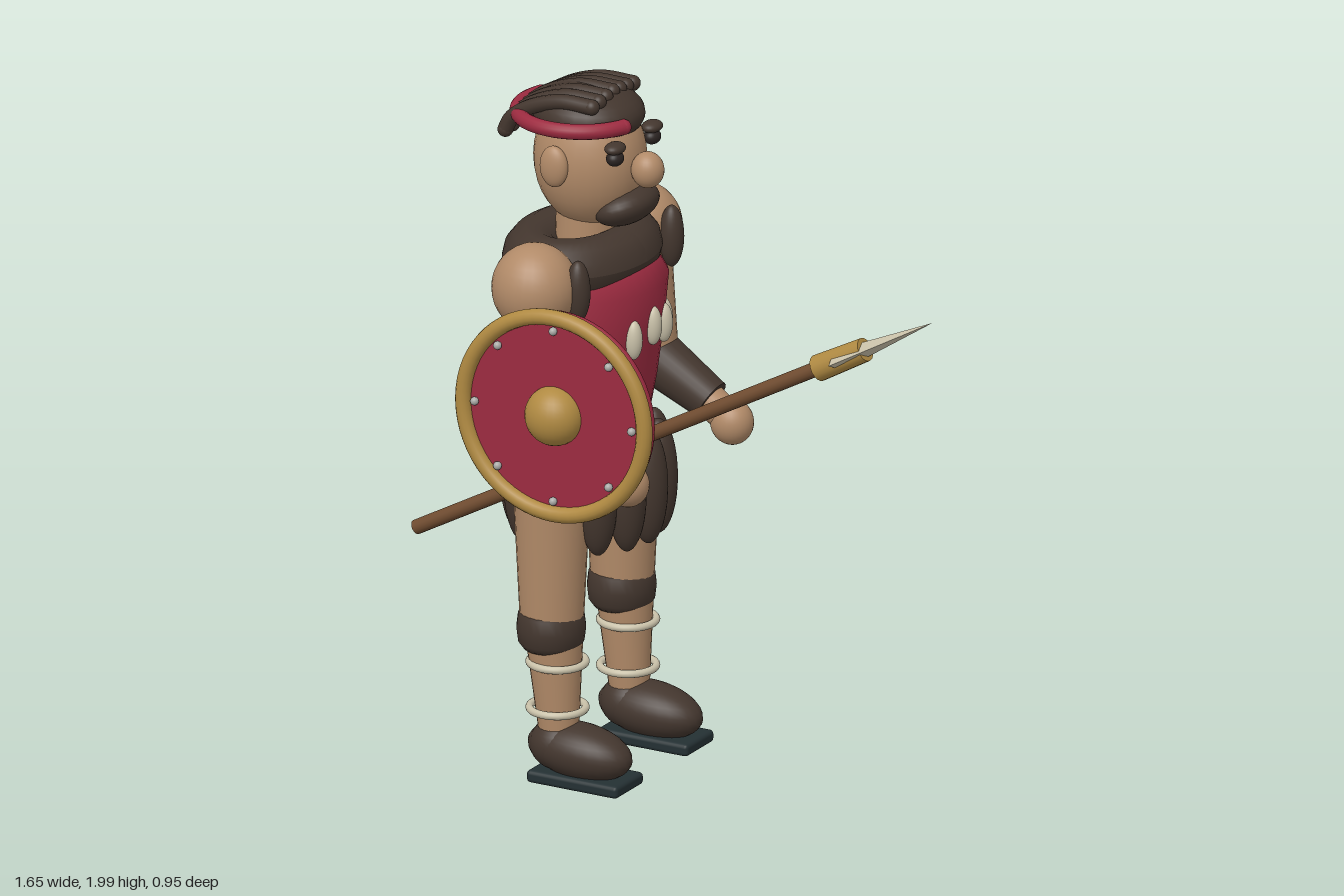
import * as THREE from 'three';
import { RoundedBoxGeometry } from 'three/addons/geometries/RoundedBoxGeometry.js';

const paint = (name, color) => {
  const m = new THREE.MeshStandardMaterial({ color });
  m.name = name;
  return m;
};

export function createModel() {
  const skin = paint('skin', 0xb18a68), fur = paint('dark fur', 0x43362e), red = paint('crimson', 0x9c2b40);
  const gold = paint('brass', 0xb08a42), bone = paint('bone', 0xc9c1a9), wood = paint('wood', 0x704c30);
  const soleDark = paint('sole', 0x243033), steel = paint('steel', 0xa9aaa6), eyeDark = paint('eye', 0x2b2422);
  const model = new THREE.Group();
  model.name = 'warrior';
  const CX = -0.435, CZ = -0.07; // body axis; the figure looks along +x

  const add = (name, geo, mat, x = 0, y = 0, z = 0) => {
    const m = new THREE.Mesh(geo, mat);
    m.name = name;
    m.position.set(x, y, z);
    model.add(m);
    return m;
  };
  const blob = (name, mat, x, y, z, rx, ry = rx, rz = rx) => {
    const m = add(name, new THREE.SphereGeometry(1, 28, 18), mat, x, y, z);
    m.scale.set(rx, ry, rz);
    return m;
  };
  // Cylinder from point a to point b
  const limb = (name, mat, a, b, ra, rb, sides = 24) => {
    const p = new THREE.Vector3(...a), q = new THREE.Vector3(...b), d = q.clone().sub(p);
    const m = add(name, new THREE.CylinderGeometry(rb, ra, d.length(), sides), mat);
    m.position.copy(p).add(q).multiplyScalar(0.5);
    m.quaternion.setFromUnitVectors(new THREE.Vector3(0, 1, 0), d.normalize());
    return m;
  };
  const ring = (r, tube, arc = Math.PI * 2) =>
    new THREE.TorusGeometry(r, tube, 14, 48, arc).rotateX(Math.PI / 2);

  // Tunic
  const profile = [[0, 1], [0.185, 1], [0.212, 1.13], [0.234, 1.28], [0.248, 1.42], [0.2, 1.5], [0, 1.53]];
  const tunic = add('tunic', new THREE.LatheGeometry(profile.map(p => new THREE.Vector2(...p)), 40), red, CX, 0, CZ);
  tunic.scale.x = 0.86;

  // Fur collar with a hanging tuft at each shoulder
  const collarGeo = ring(1, 0.085);
  const pos = collarGeo.attributes.position;
  for (let i = 0; i < pos.count; i++) {
    const x = pos.getX(i), z = pos.getZ(i), r = Math.hypot(x, z), t = r - 1;
    pos.setXYZ(i, (x / r) * (0.122 + t), pos.getY(i), (z / r) * (0.18 + t));
  }
  collarGeo.computeVertexNormals();
  add('furCollar', collarGeo, fur, -0.455, 1.495, CZ);
  for (const s of [-1, 1]) blob('collarTuft', fur, -0.32, 1.475, CZ + s * 0.26, 0.035, 0.09, 0.035);

  // Tooth necklace on the chest
  for (let i = -2; i <= 2; i++) {
    const dz = i * 0.084;
    blob('tooth', bone, CX + 0.205 * Math.sqrt(1 - (dz / 0.235) ** 2), 1.31 - Math.abs(i) * 0.02, CZ + dz, 0.025, 0.057, 0.025);
  }

  // Skirt of overlapping fur strips
  const hips = add('hips', new THREE.CylinderGeometry(0.185, 0.18, 0.2, 32), fur, CX, 0.9, CZ);
  hips.scale.x = 0.93;
  for (let i = 0; i < 14; i++) {
    const a = (i / 14) * Math.PI * 2;
    const strip = blob('skirtStrip', fur, CX + 0.19 * Math.cos(a), 0.835, CZ + 0.2 * Math.sin(a), 0.055, 0.168, 0.055);
    strip.rotation.y = -a;
  }

  // Legs and arms, mirrored about the body axis
  for (const s of [-1, 1]) {
    const lz = CZ + s * 0.196;
    limb('thigh', skin, [-0.44, 0.45, lz], [-0.44, 0.86, lz], 0.088, 0.108);
    const knee = add('kneeFur', new THREE.LatheGeometry(
      [[0, 0.39], [0.08, 0.39], [0.095, 0.41], [0.1, 0.45], [0.095, 0.49], [0.08, 0.51], [0, 0.51]]
        .map(p => new THREE.Vector2(...p)), 28), fur, -0.442, 0, lz);
    knee.scale.x = 0.96;
    limb('shin', skin, [-0.415, 0.1, lz], [-0.432, 0.42, lz], 0.052, 0.08);
    for (const y of [0.35, 0.215]) add('legRing', ring(0.078, 0.011), bone, -0.422, y, lz);
    blob('shoe', fur, -0.35, 0.1, lz, 0.16, 0.078, 0.088).rotation.z = -0.08;
    blob('shoeHeel', fur, -0.415, 0.11, lz, 0.085, 0.075, 0.08);
    add('sole', new RoundedBoxGeometry(0.29, 0.036, 0.155, 2, 0.012), soleDark, -0.335, 0.024, lz);

    const az = CZ + s * 0.29;
    blob('shoulder', skin, -0.44, 1.475, az, 0.122, 0.127, 0.118);
    limb('upperArm', skin, [-0.4, 1.12, az], [-0.44, 1.45, az], 0.073, 0.088);
    blob('elbow', fur, -0.4, 1.105, az, 0.077);
    limb('bracer', fur, [-0.405, 1.11, az], [-0.21, 1.0, az], 0.08, 0.06);
    limb('wrist', skin, [-0.24, 1.015, az], [-0.15, 0.955, az], 0.05, 0.046);
    blob('hand', skin, -0.145, 0.95, az, 0.062, 0.065, 0.058);
  }

  // Head and face
  limb('neck', skin, [-0.44, 1.48, CZ], [-0.44, 1.66, CZ], 0.09, 0.085);
  blob('head', skin, -0.43, 1.775, CZ, 0.16, 0.2, 0.152);
  blob('ear', skin, -0.457, 1.785, 0.085, 0.043, 0.06, 0.026);
  blob('nose', skin, -0.237, 1.772, -0.052, 0.047, 0.052, 0.045);
  blob('beard', fur, -0.32, 1.648, -0.08, 0.087, 0.055, 0.113).rotation.z = 0.35;
  for (const s of [-1, 1]) {
    blob('eye', eyeDark, -0.292, 1.822, CZ + s * 0.103, 0.024, 0.022, 0.028);
    blob('eyebrow', fur, -0.292, 1.852, CZ + s * 0.103, 0.028, 0.017, 0.036);
  }

  // Hair cap with swept-back locks, and a half headband
  blob('hairCap', fur, -0.435, 1.905, CZ, 0.16, 0.085, 0.148);
  for (let i = 0; i < 7; i++) {
    const z = CZ + (i - 3) * 0.038, drop = 0.004 * Math.abs(i - 3);
    const path = new THREE.CatmullRomCurve3([[-0.36, 1.975], [-0.46, 1.973], [-0.56, 1.94], [-0.615, 1.9], [-0.635, 1.862]]
      .map(p => new THREE.Vector3(p[0], p[1] - drop, z)));
    add('hairLock', new THREE.TubeGeometry(path, 20, 0.022, 10), fur);
    blob('lockTip', fur, -0.36, 1.975 - drop, z, 0.022);
    blob('lockTip', fur, -0.635, 1.862 - drop, z, 0.022);
  }
  add('headband', ring(0.18, 0.022, Math.PI), red, -0.455, 1.903, CZ).rotation.y = -0.37;
  for (const [s, name] of [[1, 'headbandFrontEnd'], [-1, 'headbandBackEnd']])
    blob(name, red, -0.455 + s * 0.168, 1.903, CZ + s * 0.065, 0.022);

  // Spear, carried in the left-hand grip
  const SZ = 0.217, dir = new THREE.Vector2(1.645, 0.9).normalize();
  const along = t => [-0.82 + dir.x * t, 0.7 + dir.y * t, SZ];
  limb('spearShaft', wood, along(0), along(1.52), 0.021, 0.021, 16);
  limb('spearSocket', gold, along(1.46), along(1.63), 0.038, 0.034, 16);
  const blade = add('spearBlade', new THREE.ConeGeometry(1, 0.34, 4).toNonIndexed(), bone, ...along(1.705));
  blade.geometry.computeVertexNormals();
  blade.scale.set(0.03, 1, 0.06);
  blade.rotation.z = Math.atan2(dir.y, dir.x) - Math.PI / 2;

  // Round shield facing +z
  const X = -0.275, Y = 1.185;
  add('shieldBoard', new THREE.CylinderGeometry(0.28, 0.28, 0.045, 56).rotateX(Math.PI / 2), red, X, Y, 0.3775);
  add('shieldBackEdge', new THREE.TorusGeometry(0.278, 0.018, 12, 56), red, X, Y, 0.363);
  add('shieldRim', new THREE.TorusGeometry(0.288, 0.023, 14, 64), gold, X, Y, 0.403);
  blob('shieldBoss', gold, X, Y, 0.4, 0.085, 0.085, 0.077);
  for (let i = 0; i < 8; i++) {
    const a = (i * Math.PI) / 4;
    blob('rivet', steel, X + 0.25 * Math.cos(a), Y + 0.25 * Math.sin(a), 0.408, 0.012);
  }
  return model;
}
